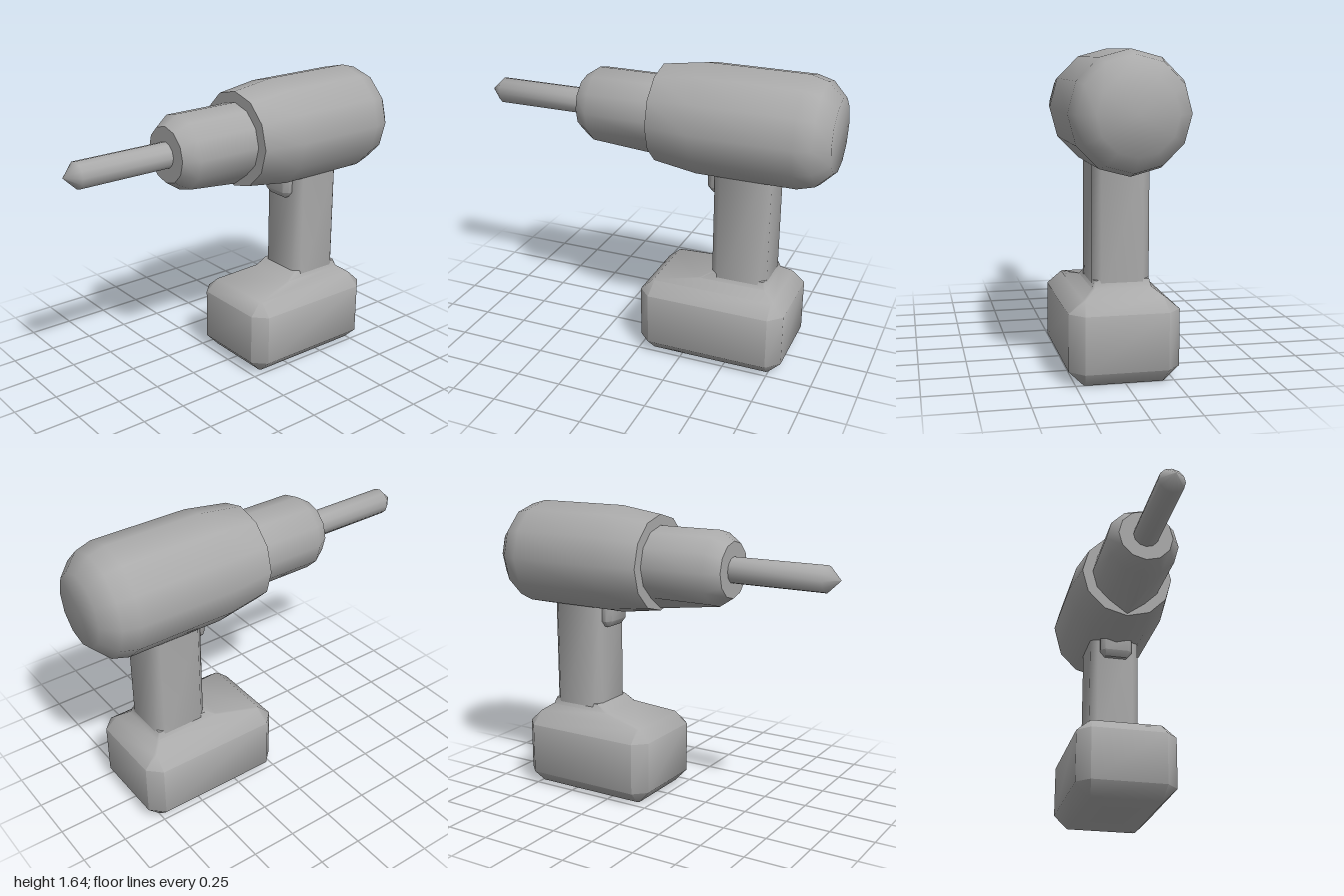
import * as THREE from 'three';
import { toCreasedNormals } from 'three/addons/utils/BufferGeometryUtils.js';

const AXIS_Y = 1.34; // height of the barrel centre line

// Skin a stack of rings, closing both ends with fans; soft edges below the crease angle
function loft(rings) {
  const n = rings[0].length;
  const pos = rings.flat().flatMap((p) => [p.x, p.y, p.z]);
  const index = [];
  for (let i = 0; i < rings.length - 1; i++) {
    for (let j = 0; j < n; j++) {
      const a = i * n + j, b = i * n + ((j + 1) % n);
      index.push(a, b, b + n, a, b + n, a + n);
    }
  }
  [rings[0], rings[rings.length - 1]].forEach((ring, end) => {
    const centre = pos.length / 3;
    const base = end ? (rings.length - 1) * n : 0;
    const c = ring.reduce((s, p) => s.add(p), new THREE.Vector3()).divideScalar(n);
    pos.push(c.x, c.y, c.z);
    for (let j = 0; j < n; j++) {
      const a = base + j, b = base + ((j + 1) % n);
      if (end) index.push(a, b, centre);
      else index.push(b, a, centre);
    }
  });
  const geo = new THREE.BufferGeometry();
  geo.setAttribute('position', new THREE.Float32BufferAttribute(pos, 3));
  geo.setIndex(index);
  return toCreasedNormals(geo, THREE.MathUtils.degToRad(54));
}

// Twelve-sided ring across the barrel; drop lowers only the bottom corner
function roundRing(z, r, drop = 0) {
  return Array.from({ length: 12 }, (_, i) => {
    const a = (i * Math.PI) / 6;
    const y = AXIS_Y + r * Math.sin(a) - (i === 9 ? drop : 0);
    return new THREE.Vector3(r * Math.cos(a), y, z);
  });
}

// Horizontal rectangle with cut corners
function boxRing(y, x0, x1, z0, z1, c) {
  return [
    [x1 - c, z1], [x1, z1 - c], [x1, z0 + c], [x1 - c, z0],
    [x0 + c, z0], [x0, z0 + c], [x0, z1 - c], [x0 + c, z1],
  ].map(([x, z]) => new THREE.Vector3(x, y, z));
}

export function createModel() {
  const group = new THREE.Group();
  const grey = new THREE.MeshStandardMaterial({ color: 0xaaaaaa });
  grey.name = 'grey';

  const add = (name, rings) => {
    const mesh = new THREE.Mesh(loft(rings), grey);
    mesh.name = name;
    group.add(mesh);
  };

  // Motor housing, rounded at the back and stepped at the front
  add('motorHousing', [
    roundRing(-1, 0.195), roundRing(-0.92, 0.275), roundRing(-0.83, 0.3),
    roundRing(-0.29, 0.3), roundRing(-0.045, 0.265),
  ]);

  // Chuck with a keel that deepens towards the housing
  add('chuck', [
    roundRing(-0.1, 0.205, 0.055), roundRing(-0.045, 0.205, 0.048),
    roundRing(0.325, 0.205), roundRing(0.405, 0.152),
  ]);

  // Pointed bit
  add('drillBit', [roundRing(0.38, 0.071), roundRing(0.93, 0.071), roundRing(1, 0.003)]);

  // Grip
  add('handle', [
    boxRing(0.4, -0.14, 0.15, -0.69, -0.38, 0.04),
    boxRing(1.1, -0.14, 0.15, -0.69, -0.38, 0.04),
  ]);

  // Trigger under the housing
  add('trigger', [
    boxRing(0.955, -0.06, 0.07, -0.42, -0.355, 0.005),
    boxRing(0.99, -0.09, 0.1, -0.42, -0.33, 0.025),
    boxRing(1.1, -0.09, 0.1, -0.42, -0.33, 0.025),
  ]);

  // Battery pack, sloping up to a collar around the grip
  add('battery', [
    boxRing(0, -0.2, 0.21, -0.75, -0.07, 0.01),
    boxRing(0.075, -0.275, 0.285, -0.82, 0, 0.07),
    boxRing(0.365, -0.275, 0.285, -0.82, 0, 0.07),
    boxRing(0.43, -0.2, 0.21, -0.755, -0.07, 0.01),
    boxRing(0.47, -0.145, 0.155, -0.7, -0.32, 0.01),
    boxRing(0.51, -0.135, 0.145, -0.685, -0.38, 0.01),
  ]);

  return group;
}
